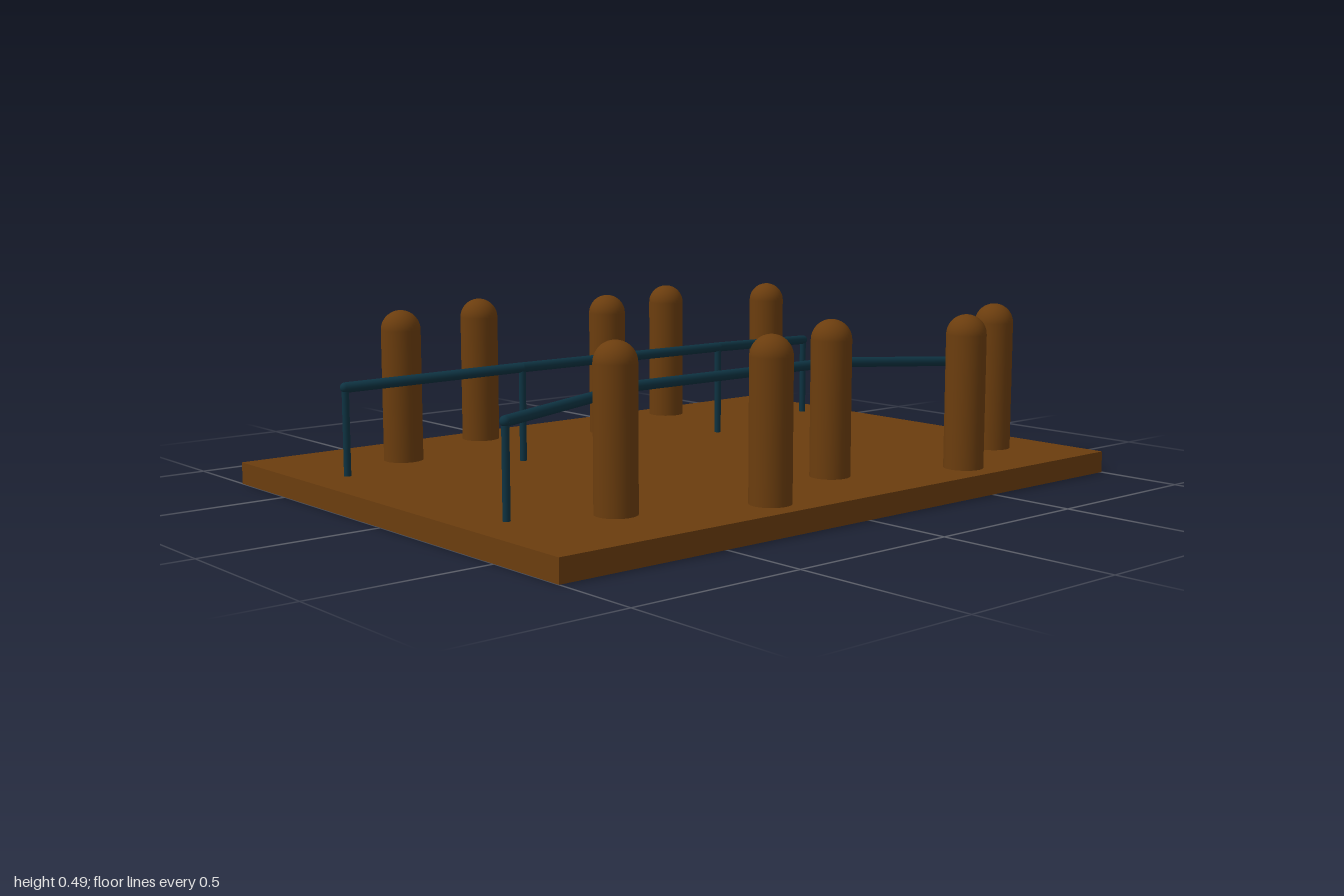
import * as THREE from 'three';

const wood = new THREE.MeshStandardMaterial({ color: 0x6b3d0e });
wood.name = 'brown wood';
const steel = new THREE.MeshStandardMaterial({ color: 0x0e3342 });
steel.name = 'dark blue steel';

const DECK = 0.062;

function add(parent, name, geometry, material, x = 0, y = 0, z = 0) {
  const mesh = new THREE.Mesh(geometry, material);
  mesh.name = name;
  mesh.position.set(x, y, z);
  parent.add(mesh);
  return mesh;
}

// Round bar running from point a to point b
function bar(parent, name, a, b, radius) {
  const dir = b.clone().sub(a);
  const mesh = add(parent, name, new THREE.CylinderGeometry(radius, radius, dir.length(), 16), steel);
  mesh.position.copy(a).lerp(b, 0.5);
  mesh.quaternion.setFromUnitVectors(new THREE.Vector3(0, 1, 0), dir.normalize());
}

export function createModel() {
  const model = new THREE.Group();
  model.name = 'railedPlatform';

  // Deck slab
  add(model, 'deck', new THREE.BoxGeometry(2, DECK, 1.5), wood, 0, DECK / 2, 0);

  // Pillar: cylinder with a hemispherical cap
  const r = 0.056, shaftTop = 0.437;
  const shaft = new THREE.CylinderGeometry(r, r, shaftTop - DECK, 32);
  const cap = new THREE.SphereGeometry(r, 32, 12, 0, Math.PI * 2, 0, Math.PI / 2);
  const spots = [[-0.627, 0.487], [-0.253, 0.643], [0.122, 0.487], [0.497, 0.643], [0.81, 0.487]];

  for (const side of [1, -1]) {
    const label = side > 0 ? 'front' : 'back';

    // Staggered row of pillars
    spots.forEach(([x, z]) => {
      const pillar = new THREE.Group();
      pillar.name = label + 'Pillar';
      pillar.position.set(x, 0, z * side);
      add(pillar, 'shaft', shaft, wood, 0, (shaftTop + DECK) / 2, 0);
      add(pillar, 'cap', cap, wood, 0, shaftTop, 0);
      model.add(pillar);
    });

    // Handrail flaring outward and down at both ends, on four posts
    const rail = new THREE.Group();
    rail.name = label + 'Handrail';
    const points = [[-0.875, 0.306, 0.375], [-0.375, 0.331, 0.25], [0.375, 0.331, 0.25], [0.875, 0.306, 0.375]]
      .map(([x, y, z]) => new THREE.Vector3(x, y, z * side));
    points.forEach((p, i) => {
      bar(rail, 'post', new THREE.Vector3(p.x, DECK, p.z), p, 0.01);
      add(rail, 'joint', new THREE.SphereGeometry(0.0145, 16, 10), steel, p.x, p.y, p.z);
      if (i) bar(rail, 'handrailBar', points[i - 1], p, 0.0145);
    });
    model.add(rail);
  }
  return model;
}
